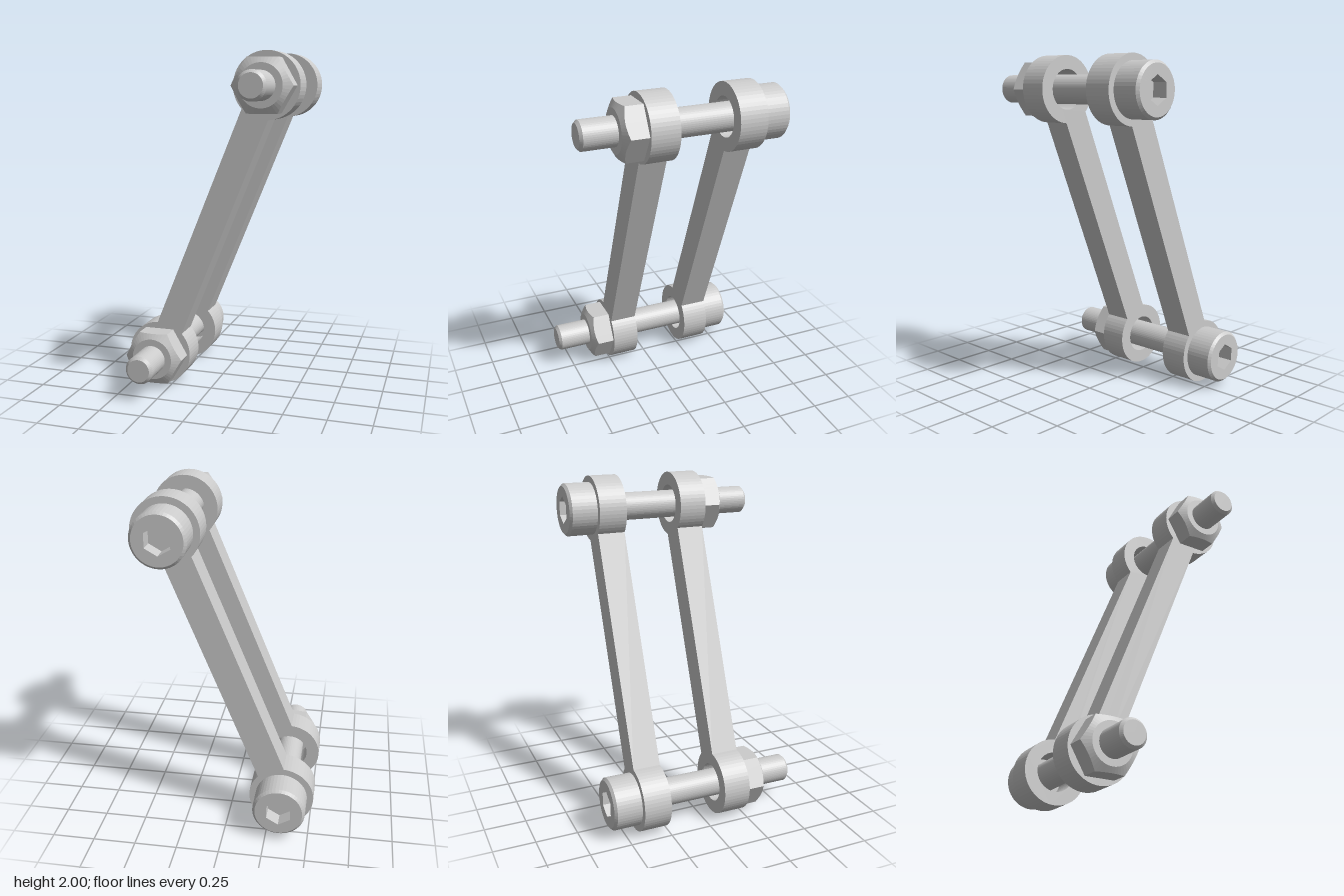
import * as THREE from 'three';

const SEG = 48;
const PIN_X = 0.328, LOW_Y = 0.193, HIGH_Y = 1.807; // pin centres
const EYE_R = 0.193, HOLE_R = 0.115, BAR_HALF = 0.083, THICK = 0.165;
const BOLT_R = 0.083;

const material = new THREE.MeshStandardMaterial({ color: 0xcccccc, flatShading: true });

// Radius of a hexagon at an angle, from its apothem
function hexRadius(apothem, angle) {
  const step = Math.PI / 3;
  return apothem / Math.cos(angle - step * Math.round(angle / step));
}

// Turned part along z. Each row is [radius, z, hexTurn]; rows with a hexTurn
// are hexagonal, and a z given as a function depends on the local radius.
function turned(rows) {
  const points = rows.map(([r]) => new THREE.Vector2(r, 0));
  const geometry = new THREE.LatheGeometry(points, SEG);
  const pos = geometry.attributes.position;
  for (let i = 0; i <= SEG; i++) {
    const phi = (i / SEG) * Math.PI * 2;
    rows.forEach(([r, z, hexTurn], j) => {
      const radius = hexTurn === undefined ? r : hexRadius(r, phi + hexTurn);
      const height = typeof z === 'function' ? z(radius) : z;
      pos.setXYZ(i * rows.length + j, radius * Math.sin(phi), height, radius * Math.cos(phi));
    });
  }
  geometry.rotateX(Math.PI / 2);
  geometry.computeVertexNormals();
  return geometry;
}

// Link plate: a straight bar with a round eye at each end
function linkGeometry() {
  const dx = PIN_X * 2, dy = HIGH_Y - LOW_Y;
  const half = Math.hypot(dx, dy) / 2;
  const a = Math.asin(BAR_HALF / EYE_R);
  const shape = new THREE.Shape();
  shape.absarc(0, half, EYE_R, -Math.PI / 2 + a, 1.5 * Math.PI - a, false);
  shape.absarc(0, -half, EYE_R, Math.PI / 2 + a, 2.5 * Math.PI - a, false);
  shape.closePath();
  for (const y of [half, -half]) {
    const hole = new THREE.Path();
    hole.absarc(0, y, HOLE_R, 0, Math.PI * 2, true);
    shape.holes.push(hole);
  }
  const geometry = new THREE.ExtrudeGeometry(shape, { depth: THICK, bevelEnabled: false, curveSegments: SEG / 2 });
  geometry.rotateZ(-Math.atan2(dx, dy));
  return geometry;
}

export function createModel() {
  const model = new THREE.Group();
  model.name = 'boltedLinkage';

  const add = (parent, geometry, name, x, y, z) => {
    const mesh = new THREE.Mesh(geometry, material);
    mesh.name = name;
    mesh.position.set(x, y, z);
    parent.add(mesh);
  };

  // Two parallel link plates
  const link = linkGeometry();
  add(model, link, 'frontLink', 0, 1, 0.085);
  add(model, link, 'backLink', 0, 1, -0.424);

  // Socket head bolt: hex recess, chamfered head, shank, chamfered tip
  const bolt = turned([
    [0, -0.5], [0.07, -0.5, Math.PI / 6], [0.07, -0.59, Math.PI / 6],
    [0.14, -0.59], [0.155, -0.575], [0.155, -0.424],
    [BOLT_R, -0.424], [BOLT_R, 0.574], [0.067, 0.59], [0, 0.59],
  ]);

  // Hex nut with a conical chamfer on its outer face
  const chamfer = (r) => 0.384 - 0.577 * (r - 0.123);
  const nut = turned([
    [BOLT_R, 0.25], [0.153, 0.25, 0], [0.153, chamfer, 0],
    [0.123, 0.384], [BOLT_R, 0.384],
  ]);

  for (const [name, x, y] of [['lower', -PIN_X, LOW_Y], ['upper', PIN_X, HIGH_Y]]) {
    const fastener = new THREE.Group();
    fastener.name = name + 'Fastener';
    fastener.position.set(x, y, 0);
    add(fastener, bolt, name + 'Bolt', 0, 0, 0);
    add(fastener, nut, name + 'Nut', 0, 0, 0);
    model.add(fastener);
  }
  return model;
}
